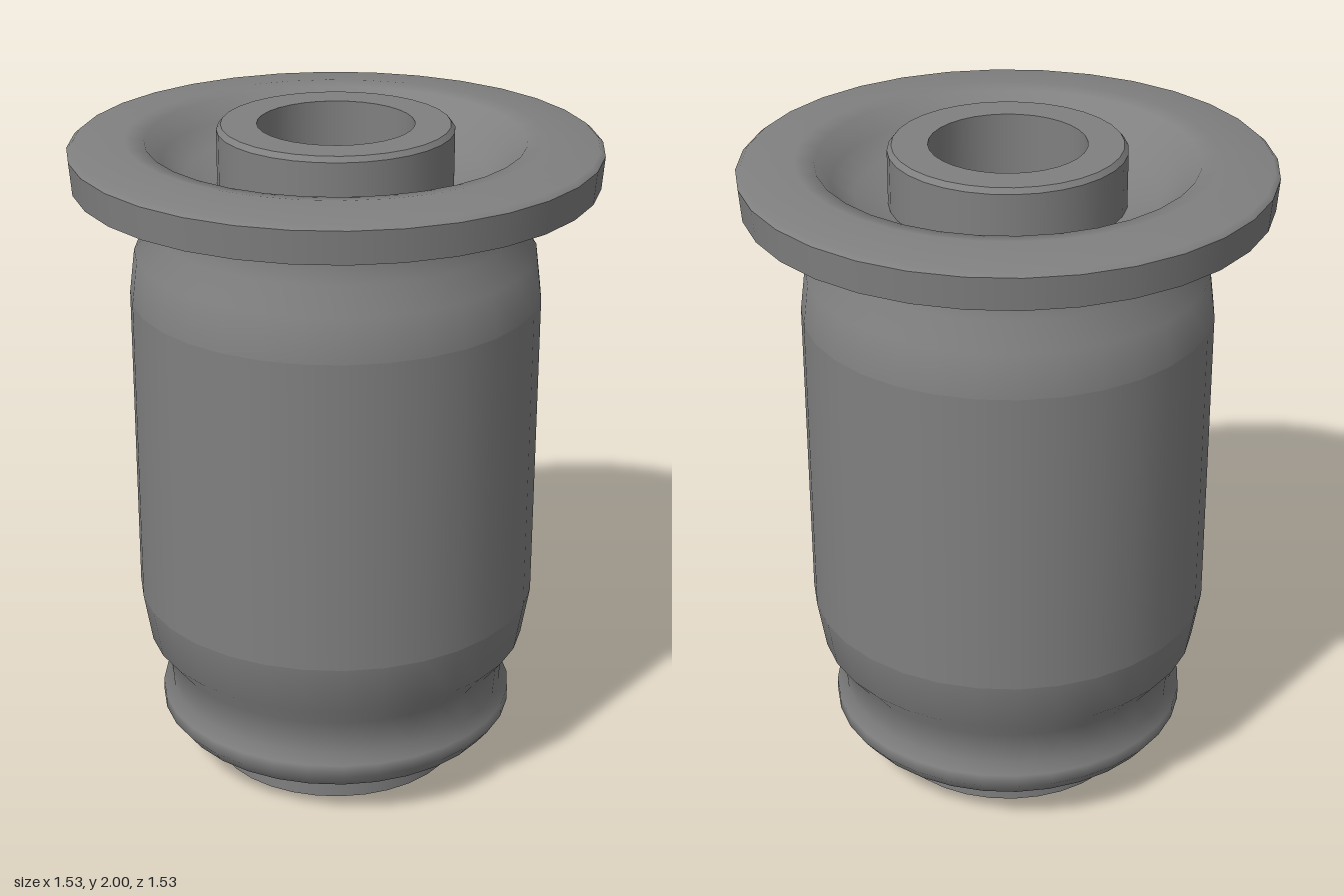
import * as THREE from 'three';

const SEGMENTS = 32;

// Revolves each run of [radius, y] points; runs are smooth inside and sharp where they meet.
function turnedPart(name, material, runs) {
  const part = new THREE.Group();
  part.name = name;
  runs.forEach((run, i) => {
    const points = run.map(([r, y]) => new THREE.Vector2(r, y));
    const mesh = new THREE.Mesh(new THREE.LatheGeometry(points, SEGMENTS), material);
    mesh.name = `${name}Surface${i + 1}`;
    part.add(mesh);
  });
  return part;
}

export function createModel() {
  const model = new THREE.Group();
  model.name = 'bushing';
  const grey = new THREE.MeshStandardMaterial({ color: 0x808080 });
  grey.name = 'grey';

  // Inner sleeve: through bore, wide foot and slightly chamfered top
  model.add(turnedPart('innerSleeve', grey, [
    [[0.225, 0], [0.382, 0]],
    [[0.382, 0], [0.382, 0.13]],
    [[0.34, 1.8], [0.34, 1.985]],
    [[0.34, 1.985], [0.328, 2]],
    [[0.328, 2], [0.225, 2]],
    [[0.225, 2], [0.225, 0]],
  ]));

  // Rubber body: bottom bead, waist, barrel, shoulder and neck
  model.add(turnedPart('body', grey, [
    [[0.38, 0.12], [0.505, 0.12]],
    [[0.505, 0.12], [0.54, 0.165], [0.54, 0.205], [0.512, 0.235], [0.52, 0.34],
      [0.575, 0.41], [0.6, 0.56]],
    [[0.6, 0.56], [0.6, 1.5]],
    [[0.6, 1.5], [0.584, 1.63], [0.525, 1.7], [0.525, 1.8]],
  ]));

  // Top flange with a flared underside and a dished recess around the sleeve
  model.add(turnedPart('flange', grey, [
    [[0.525, 1.8], [0.57, 1.84]],
    [[0.57, 1.84], [0.757, 1.84]],
    [[0.757, 1.84], [0.765, 1.935]],
    [[0.765, 1.935], [0.75, 1.948], [0.6, 1.963], [0.545, 1.955], [0.5, 1.9],
      [0.435, 1.855], [0.34, 1.825]],
  ]));

  return model;
}
